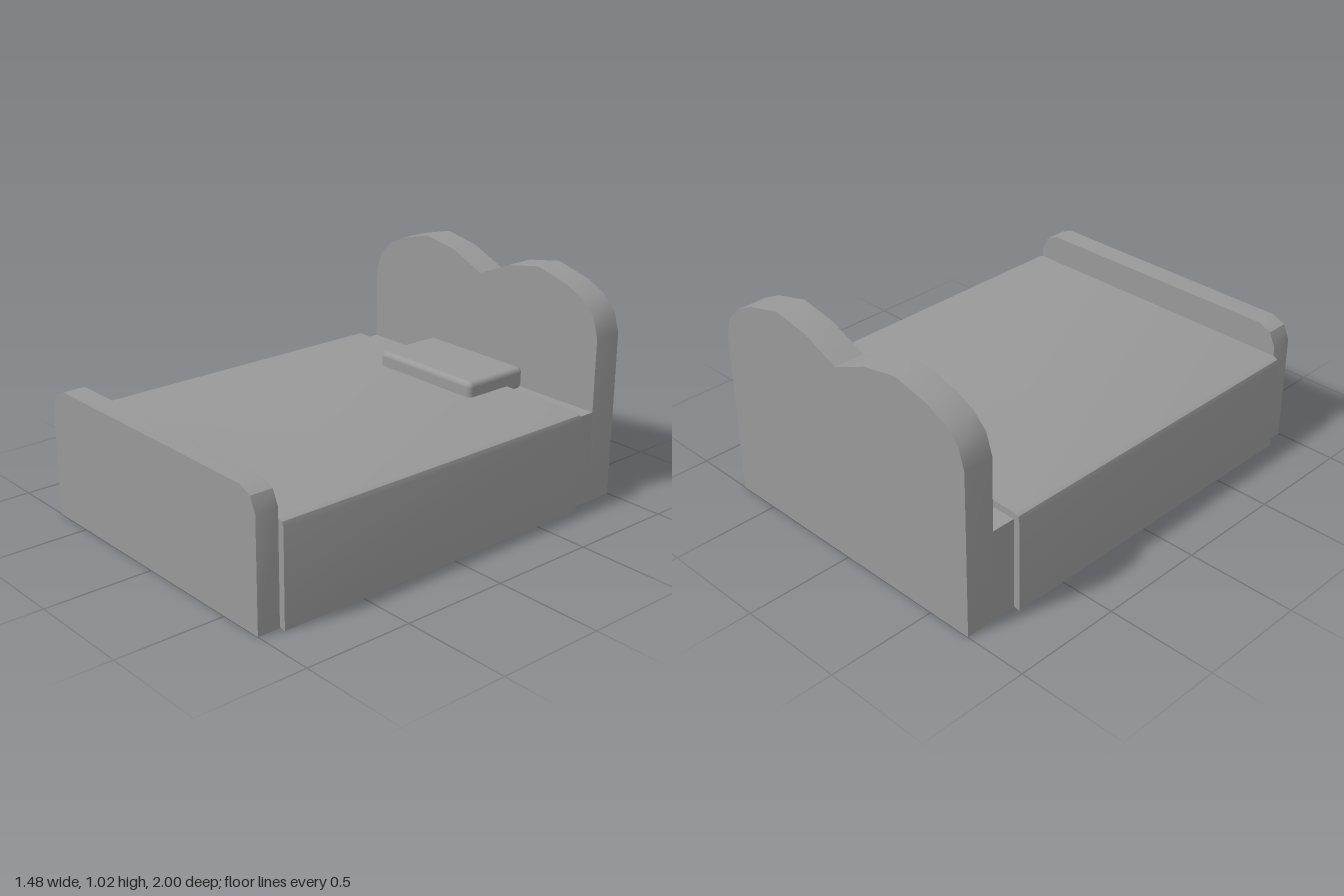
import * as THREE from 'three';
import { toCreasedNormals } from 'three/addons/utils/BufferGeometryUtils.js';
import { RoundedBoxGeometry } from 'three/addons/geometries/RoundedBoxGeometry.js';

// Extrudes a left-right symmetric outline, given by its +x half from bottom to top, between z0 and z1
function symmetricPanel(half, z0, z1) {
  const mirrored = half.filter(([x]) => x > 0).reverse().map(([x, y]) => [-x, y]);
  const shape = new THREE.Shape([...half, ...mirrored].map(([x, y]) => new THREE.Vector2(x, y)));
  const geometry = new THREE.ExtrudeGeometry(shape, { depth: z1 - z0, bevelEnabled: false });
  geometry.translate(0, 0, z0);
  return toCreasedNormals(geometry, 0.6);
}

export function createModel() {
  const group = new THREE.Group();
  const grey = new THREE.MeshStandardMaterial({ color: 0x999999 });
  grey.name = 'grey';

  const add = (name, geometry) => {
    const mesh = new THREE.Mesh(geometry, grey);
    mesh.name = name;
    group.add(mesh);
    return mesh;
  };

  // Headboard with two rounded humps meeting in a central notch
  add('headboard', symmetricPanel([
    [0.71, 0], [0.71, 0.77], [0.68, 0.865], [0.615, 0.927], [0.525, 0.972],
    [0.352, 1.017], [0.175, 0.985], [0, 0.91],
  ], -1, -0.86));

  // Low footboard with clipped round corners
  add('footboard', symmetricPanel([
    [0.71, 0], [0.71, 0.505], [0.68, 0.57], [0.62, 0.597],
  ], 0.895, 1));

  // Mattress block between the boards
  add('mattress', new THREE.BoxGeometry(1.42, 0.43, 1.755)).position.set(0, 0.215, 0.0175);

  // Blanket draped over the mattress down to the floor
  add('blanket', symmetricPanel([
    [0.71, 0.43], [0.71, 0.004], [0.74, 0], [0.74, 0.43], [0.733, 0.452], [0.71, 0.462],
  ], -0.75, 0.895));

  // Pillow against the headboard
  add('pillow', new RoundedBoxGeometry(0.592, 0.104, 0.344, 4, 0.025)).position.set(0, 0.479, -0.684);

  return group;
}
